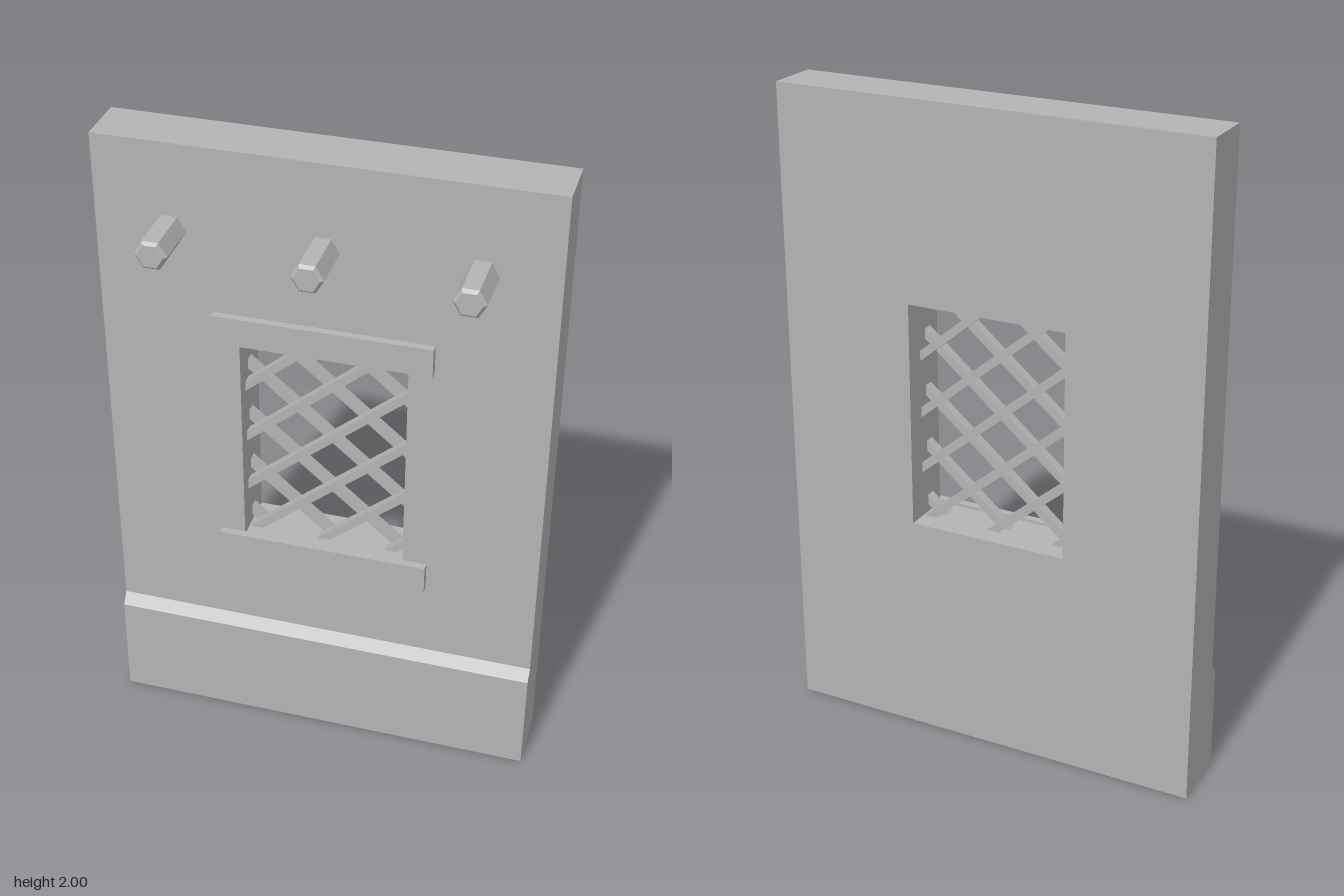
import * as THREE from 'three';

const W = 0.665, BACK = -0.163, FRONT = 0.002;
const WIN = { x: 0.25, y0: 0.7, y1: 1.4 };

const rect = (C, x0, y0, x1, y1) => {
  const p = new C();
  p.moveTo(x0, y0);
  p.lineTo(x1, y0);
  p.lineTo(x1, y1);
  p.lineTo(x0, y1);
  p.closePath();
  return p;
};

export function createModel() {
  const group = new THREE.Group();
  const stone = new THREE.MeshStandardMaterial({ color: 0xb4b4b4, flatShading: true });
  stone.name = 'grey stone';

  const add = (name, geometry, x = 0, y = 0, z = 0) => {
    const mesh = new THREE.Mesh(geometry, stone);
    mesh.name = name;
    mesh.position.set(x, y, z);
    group.add(mesh);
    return mesh;
  };

  // Wall slab with the window opening
  const slab = rect(THREE.Shape, -W, 0, W, 2);
  slab.holes.push(rect(THREE.Path, -WIN.x, WIN.y0, WIN.x, WIN.y1));
  add('wall', new THREE.ExtrudeGeometry(slab, { depth: FRONT - BACK, bevelEnabled: false }), 0, 0, BACK);

  // Plinth with a sloped top, its profile swept along x
  const profile = new THREE.Shape([
    [-FRONT, 0], [-0.031, 0], [-0.029, 0.335], [-FRONT, 0.37],
  ].map(([x, y]) => new THREE.Vector2(x, y)));
  const plinth = new THREE.ExtrudeGeometry(profile, { depth: 2 * W, bevelEnabled: false });
  plinth.rotateY(Math.PI / 2);
  add('plinth', plinth, -W);

  // Lintel and sill
  const trim = new THREE.BoxGeometry(0.65, 0.09, 0.024);
  add('lintel', trim, 0, 1.443, FRONT + 0.012);
  add('sill', trim, 0, 0.664, FRONT + 0.012);

  // Hexagonal pegs with chamfered tips
  const peg = new THREE.LatheGeometry([
    [0.048, -0.01], [0.048, 0.153], [0.038, 0.163], [0, 0.163],
  ].map(([x, y]) => new THREE.Vector2(x, y)), 6);
  peg.rotateX(Math.PI / 2);
  peg.rotateZ(Math.PI / 2);
  for (const x of [-0.444, 0, 0.444]) add('peg', peg, x, 1.735, 0);

  // Window lattice: two layers of diagonal bars, cut to the opening
  const slope = 0.84, step = 0.18, bar = 0.025, embed = 0.012;
  for (const [dir, z] of [[1, -0.055], [-1, -0.085]]) {
    for (let i = -4; i <= 4; i++) {
      const yc = 1.07 + i * step;
      const m = slope * dir;
      const xs = [(WIN.y0 - yc) / m, (WIN.y1 - yc) / m].sort((a, b) => a - b);
      const x0 = Math.max(-WIN.x, xs[0]), x1 = Math.min(WIN.x, xs[1]);
      if (x1 - x0 < 0.02) continue;
      const length = (x1 - x0) * Math.hypot(1, m) + 2 * embed;
      const xm = (x0 + x1) / 2;
      const mesh = add('latticeBar', new THREE.BoxGeometry(length, bar, 0.03), xm, yc + m * xm, z);
      mesh.rotation.z = Math.atan(m);
    }
  }
  return group;
}
